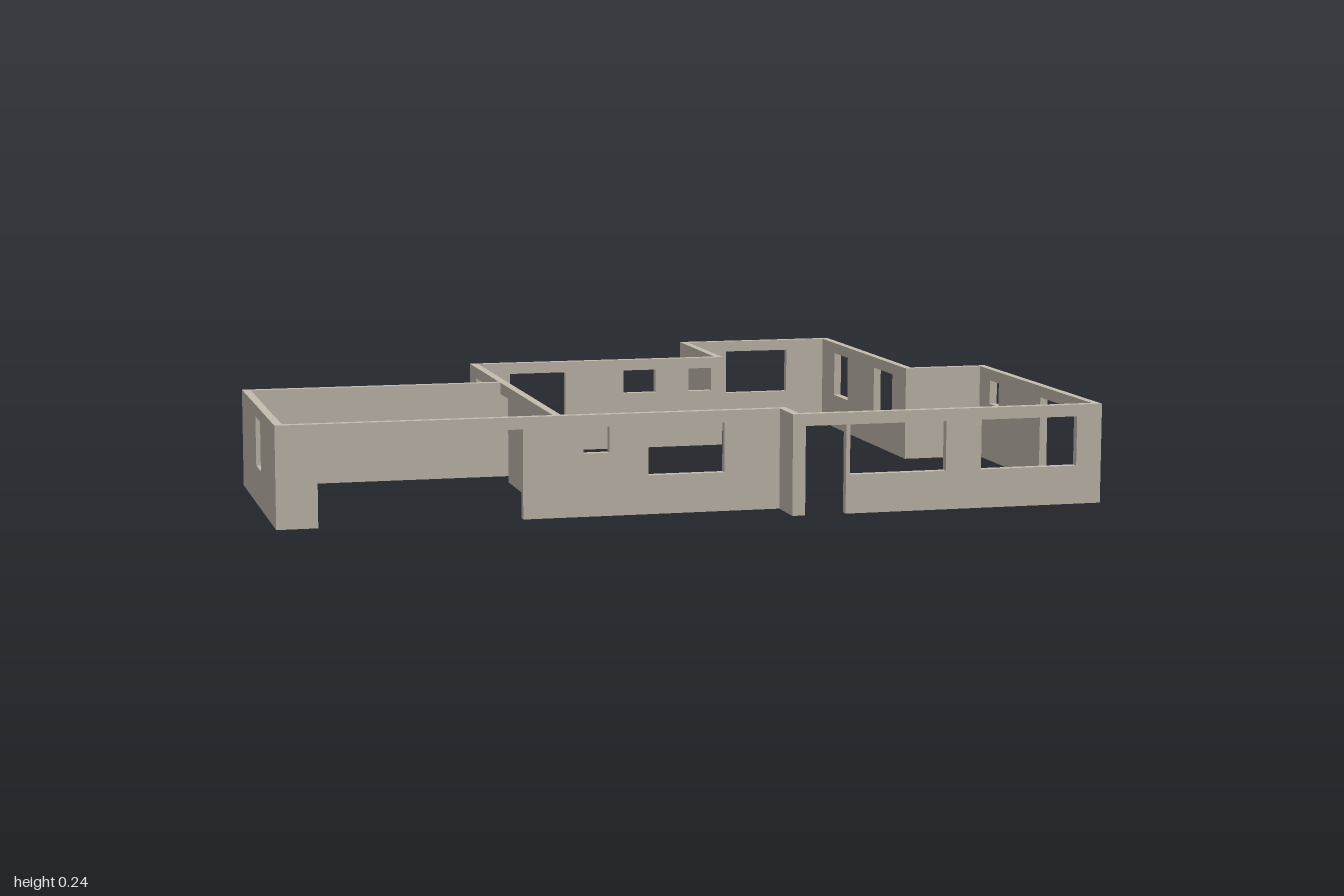
import * as THREE from 'three';

const H = 0.244;   // wall height
const T = 0.02;    // wall thickness
const HEAD = 0.215; // top of every opening

// Openings along a wall: [start, end, sill]
const door = (a, b) => [a, b, 0];
const win = (a, b) => [a, b, 0.094];
const highWin = (a, b) => [a, b, 0.152];

// Elevation of a wall: doors are notches in the outline, windows are holes
function wallShape(a, b, openings) {
  const shape = new THREE.Shape().moveTo(a, 0);
  for (const [s, e, sill] of openings) {
    if (sill === 0) {
      shape.lineTo(s, 0).lineTo(s, HEAD).lineTo(e, HEAD).lineTo(e, 0);
    } else {
      shape.holes.push(new THREE.Path()
        .moveTo(s, sill).lineTo(s, HEAD).lineTo(e, HEAD).lineTo(e, sill).closePath());
    }
  }
  shape.lineTo(b, 0).lineTo(b, H).lineTo(a, H).closePath();
  return shape;
}

export function createModel() {
  const model = new THREE.Group();
  model.name = 'houseWalls';
  const material = new THREE.MeshStandardMaterial({ color: 0xc4bcae });

  // A wall running along 'x' or 'z' from a to b; pos is its lower edge on the other axis
  function wall(name, axis, a, b, pos, openings = []) {
    const geometry = new THREE.ExtrudeGeometry(wallShape(a, b, openings),
      { depth: T, bevelEnabled: false });
    if (axis === 'z') geometry.rotateY(-Math.PI / 2).translate(pos + T, 0, 0);
    else geometry.translate(0, 0, pos);
    const mesh = new THREE.Mesh(geometry, material);
    mesh.name = name;
    model.add(mesh);
  }

  // Walls facing front and back
  wall('frontWall', 'x', -1, 0.235, 0.636,
    [door(-0.902, -0.416), highWin(-0.27, -0.207), win(-0.111, 0.077)]);
  wall('frontBayWall', 'x', 0.215, 1, 0.742,
    [door(0.247, 0.348), win(0.358, 0.6), win(0.69, 0.936)]);
  wall('garageBackWall', 'x', -1, -0.34, -0.004);
  wall('mainBackWall', 'x', -0.34, 0.365, -0.4,
    [win(-0.234, -0.079), highWin(0.084, 0.174), highWin(0.268, 0.332)]);
  wall('annexBackWall', 'x', 0.345, 0.79, -0.762, [win(0.478, 0.66)]);
  wall('rightStepWall', 'x', 0.77, 1, -0.034);

  // Walls facing the sides, butted between the others
  wall('garageSideWall', 'z', 0.016, 0.636, -1, [win(0.28, 0.375)]);
  wall('garageDividingWall', 'z', -0.38, 0.636, -0.34,
    [win(-0.31, -0.156), door(0.016, 0.113)]);
  wall('frontStepWall', 'z', 0.656, 0.742, 0.215);
  wall('annexInnerWall', 'z', -0.742, -0.4, 0.345);
  wall('annexOuterWall', 'z', -0.742, -0.034, 0.77,
    [win(-0.63, -0.508), win(-0.278, -0.124)]);
  wall('mainSideWall', 'z', -0.014, 0.742, 0.98,
    [highWin(0.061, 0.126), door(0.416, 0.665)]);

  return model;
}
